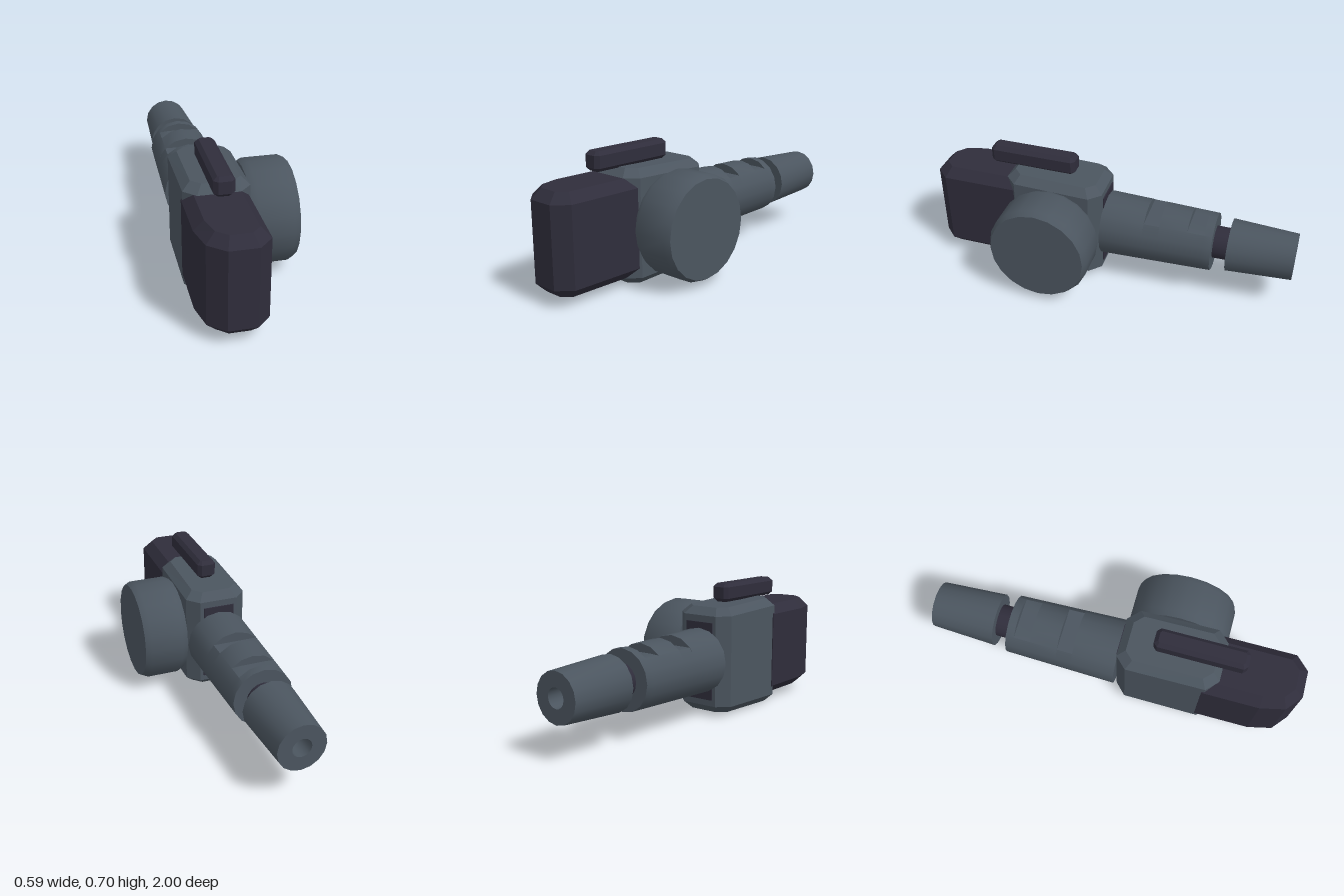
import * as THREE from 'three';
import { toCreasedNormals } from 'three/addons/utils/BufferGeometryUtils.js';

const CX = -0.118, CY = 0.303; // axis shared by barrel, neck and nozzle

// Joins convex rings of [x, y, z], counter-clockwise and stacked along +z, and caps both ends.
function loft(rings) {
  const pos = [];
  const tri = (...p) => {
    const t = new THREE.Triangle(...p.map(q => new THREE.Vector3(...q)));
    if (t.getArea() > 1e-8) pos.push(...p.flat());
  };
  const n = rings[0].length;
  for (let i = 0; i < rings.length - 1; i++) {
    for (let j = 0; j < n; j++) {
      const k = (j + 1) % n, a = rings[i], b = rings[i + 1];
      tri(a[j], a[k], b[k]);
      tri(a[j], b[k], b[j]);
    }
  }
  const first = rings[0], last = rings[rings.length - 1];
  for (let j = 1; j < n - 1; j++) {
    tri(first[0], first[j + 1], first[j]);
    tri(last[0], last[j], last[j + 1]);
  }
  const g = new THREE.BufferGeometry();
  g.setAttribute('position', new THREE.Float32BufferAttribute(pos, 3));
  g.computeVertexNormals();
  return g;
}

// Rectangle with cut corners as [x, z] points.
function cutRect(x0, x1, z0, z1, c) {
  return [[x0 + c, z1], [x1 - c, z1], [x1, z1 - c], [x1, z0 + c],
    [x1 - c, z0], [x0 + c, z0], [x0, z0 + c], [x0, z1 - c]];
}

// Upright block: outer outline in the middle, smaller outline at top and bottom.
function bevelBlock(outer, inner, y0, y1, bevel) {
  const ring = (o, y) => o.map(([x, z]) => [x, -z, y]);
  return loft([ring(inner, y0), ring(outer, y0 + bevel), ring(outer, y1 - bevel), ring(inner, y1)])
    .rotateX(-Math.PI / 2);
}

// Barrel: tapered, with two flat-bottomed notches cut into the top.
function barrelGeometry() {
  const ring = (z, cut = 1) => Array.from({ length: 16 }, (_, i) => {
    const a = i * Math.PI / 8, r = 0.158 + 0.017 * (z + 0.57) / 0.6;
    return [CX + r * Math.cos(a), Math.min(CY + r * Math.sin(a), cut), z];
  });
  const rings = [ring(-0.57)];
  for (const [z0, z1] of [[-0.525, -0.435], [-0.285, -0.2]]) {
    rings.push(ring(z0), ring(z0, 0.42), ring(z1, 0.42), ring(z1));
  }
  rings.push(ring(0.035));
  return toCreasedNormals(loft(rings), 0.6);
}

// Lathe from [radius, height] points with sharp edges kept.
function turned(points, sides) {
  const g = new THREE.LatheGeometry(points.map(p => new THREE.Vector2(...p)), sides);
  return toCreasedNormals(g, 0.6);
}

export function createModel() {
  const model = new THREE.Group();
  model.name = 'model';
  const grey = new THREE.MeshStandardMaterial({ color: 0x4b555f });
  grey.name = 'slateGrey';
  const dark = new THREE.MeshStandardMaterial({ color: 0x2f2d3b });
  dark.name = 'darkPlum';
  const add = (name, geometry, material) => {
    const mesh = new THREE.Mesh(geometry, material);
    mesh.name = name;
    model.add(mesh);
    return mesh;
  };

  // Housing, slightly lower towards the back
  const housing = bevelBlock(cutRect(-0.283, 0.047, 0.038, 0.575, 0.06),
    cutRect(-0.241, 0.005, 0.08, 0.535, 0.045), 0, 0.602, 0.042);
  const p = housing.attributes.position;
  for (let i = 0; i < p.count; i++) {
    const s = 1 - 0.055 * (0.55 - Math.min(p.getZ(i), 0.55)) / 0.5;
    p.setY(i, 0.301 + (p.getY(i) - 0.301) * s);
  }
  housing.computeVertexNormals();
  add('housing', housing, grey);

  // Panel on the rear of the housing
  add('rearPanel', new THREE.BoxGeometry(0.17, 0.42, 0.008).translate(CX, 0.3, 0.036), dark);

  // Front body with rounded nose
  const nose = [[-0.175, 1], [-0.032, 1], [0.038, 0.93], [0.038, 0.5],
    [-0.288, 0.5], [-0.288, 0.8], [-0.258, 0.93]];
  const noseInner = [[-0.158, 0.95], [-0.055, 0.95], [-0.01, 0.905], [-0.01, 0.5],
    [-0.238, 0.5], [-0.238, 0.8], [-0.212, 0.905]];
  add('frontBody', bevelBlock(nose, noseInner, 0.045, 0.56, 0.05), dark);

  // Bar on top
  add('topBar', bevelBlock(cutRect(-0.168, -0.066, 0.21, 0.69, 0.02),
    cutRect(-0.148, -0.086, 0.23, 0.67, 0.008), 0.596, 0.697, 0.019), dark);

  // Side drum and its axle
  const drum = turned([[0, 0], [0.258, 0], [0.275, 0.033], [0.275, 0.207], [0.258, 0.24], [0, 0.24]], 20);
  add('sideDrum', drum.rotateZ(-Math.PI / 2).translate(0.055, 0.302, 0.305), grey);
  add('drumAxle', new THREE.CylinderGeometry(0.08, 0.08, 0.04, 16)
    .rotateZ(Math.PI / 2).translate(0.05, 0.302, 0.305), dark);

  // Barrel, neck and hollow nozzle
  add('barrel', barrelGeometry(), grey);
  add('neck', new THREE.CylinderGeometry(0.088, 0.088, 0.12, 16)
    .rotateX(Math.PI / 2).translate(CX, CY, -0.61), dark);
  const nozzle = turned([[0, 0], [0.143, 0], [0.125, 0.35], [0.05, 0.35], [0.05, 0.15], [0, 0.15]], 16);
  add('nozzle', nozzle.rotateX(-Math.PI / 2).translate(CX, CY, -0.65), grey);

  return model;
}
